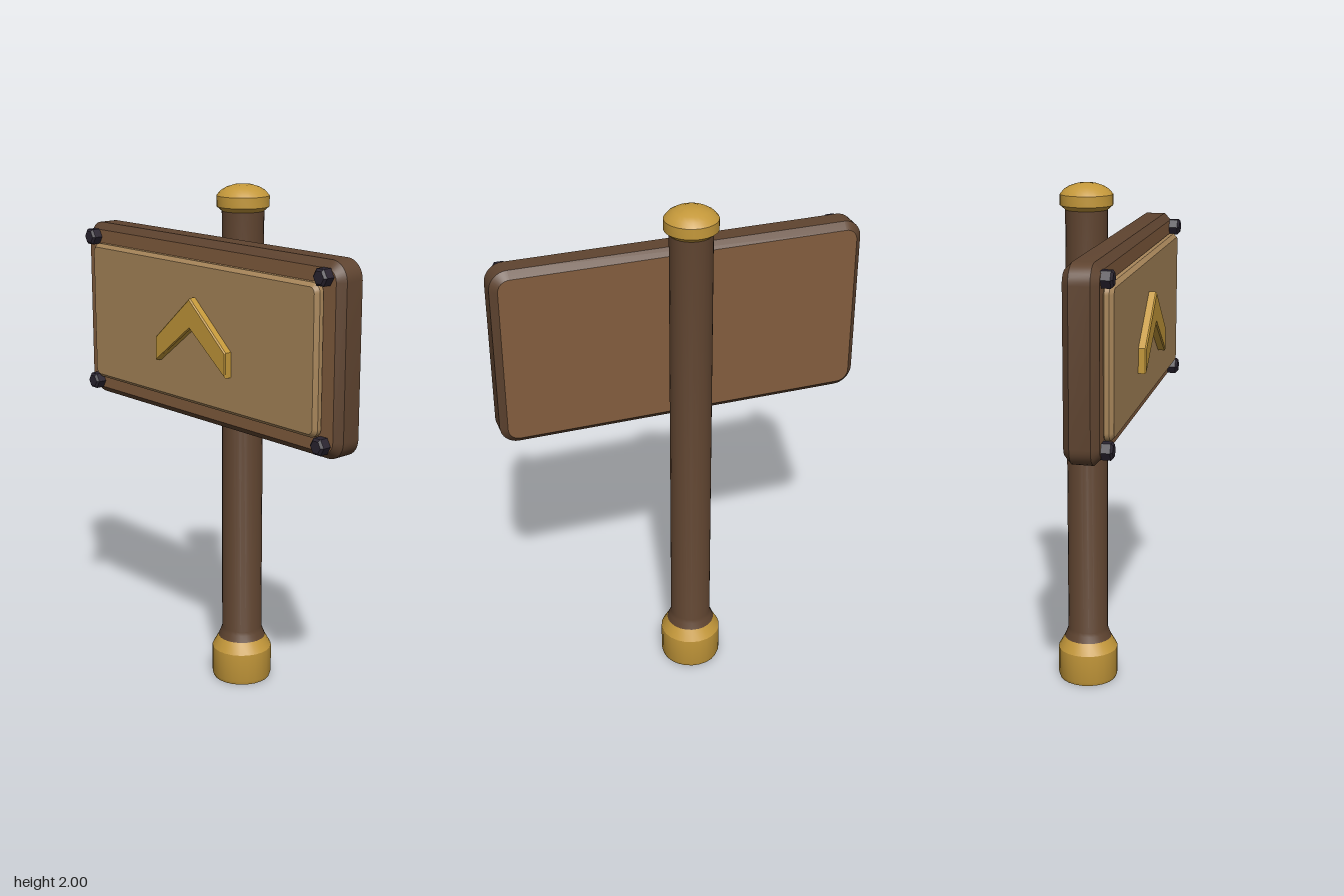
import * as THREE from 'three';
import { toCreasedNormals } from 'three/addons/utils/BufferGeometryUtils.js';

const mat = (name, color) => {
  const m = new THREE.MeshStandardMaterial({ color });
  m.name = name;
  return m;
};

// Rounded rectangle centred on the origin
function roundedRect(w, h, r) {
  const s = new THREE.Shape();
  const x = w / 2 - r, y = h / 2 - r;
  s.absarc(x, y, r, 0, Math.PI / 2);
  s.absarc(-x, y, r, Math.PI / 2, Math.PI);
  s.absarc(-x, -y, r, Math.PI, Math.PI * 1.5);
  s.absarc(x, -y, r, Math.PI * 1.5, Math.PI * 2);
  s.closePath();
  return s;
}

// Bevelled slab between z0 and z1; the bevel stays inside the shape's outline
function slab(shape, z0, z1, bevel) {
  const g = new THREE.ExtrudeGeometry(shape, {
    depth: z1 - z0 - 2 * bevel, bevelEnabled: true, bevelThickness: bevel,
    bevelSize: bevel, bevelOffset: -bevel, bevelSegments: 1, curveSegments: 4,
  });
  g.translate(0, 0, z0 + bevel);
  return toCreasedNormals(g, 0.5);
}

function turned(points, sides = 24) {
  const g = new THREE.LatheGeometry(points.map(([r, y]) => new THREE.Vector2(r, y)), sides);
  return toCreasedNormals(g, 0.5);
}

export function createModel() {
  const darkWood = mat('dark wood', 0x5f4430);
  const midWood = mat('medium wood', 0x835d3e);
  const paleWood = mat('pale wood', 0xa8865a);
  const brass = mat('brass', 0xc4983a);
  const iron = mat('dark iron', 0x2a2430);

  const model = new THREE.Group();
  model.name = 'signpost';
  const add = (name, geometry, material, x = 0, y = 0, z = 0) => {
    const mesh = new THREE.Mesh(geometry, material);
    mesh.name = name;
    mesh.position.set(x, y, z);
    model.add(mesh);
    return mesh;
  };

  // Post with its foot and cap, standing behind the board
  const postZ = -0.075;
  add('post', turned([[0.095, 0.175], [0.085, 0.2], [0.08, 0.215], [0.08, 1.92]]), darkWood, 0, 0, postZ);
  add('foot', turned([[0, 0], [0.115, 0], [0.12, 0.015], [0.12, 0.13], [0.093, 0.178], [0, 0.178]]), brass, 0, 0, postZ);
  add('cap', turned([[0, 1.9], [0.08, 1.9], [0.1, 1.917], [0.1, 1.957], [0.085, 1.975],
    [0.065, 1.987], [0.035, 1.997], [0, 2]]), brass, 0, 0, postZ);

  // Board with darker edges and raised panel
  const boardY = 1.46;
  add('board', slab(roundedRect(1.43, 0.7, 0.07), 0.003, 0.13, 0.026), [midWood, darkWood], 0, boardY);
  add('panel', slab(roundedRect(1.27, 0.546, 0.035), 0.12, 0.165, 0.014), paleWood, 0, boardY);

  // Chevron pointing up
  const chevron = new THREE.Shape([[0, 1.6], [-0.2, 1.425], [-0.2, 1.33], [0, 1.483], [0.2, 1.33], [0.2, 1.425]]
    .map(([x, y]) => new THREE.Vector2(x, y)));
  add('chevron', slab(chevron, 0.155, 0.195, 0.005), brass);

  // Hexagonal corner bolts
  const hex = new THREE.Shape();
  for (let i = 0; i < 6; i++) {
    const a = i * Math.PI / 3, x = 0.034 * Math.cos(a), y = 0.034 * Math.sin(a);
    if (i) hex.lineTo(x, y); else hex.moveTo(x, y);
  }
  hex.closePath();
  const boltGeometry = slab(hex, 0.12, 0.171, 0.008);
  for (const x of [-0.645, 0.645]) {
    for (const y of [-0.296, 0.296]) add('bolt', boltGeometry, iron, x, boardY + y);
  }
  return model;
}
